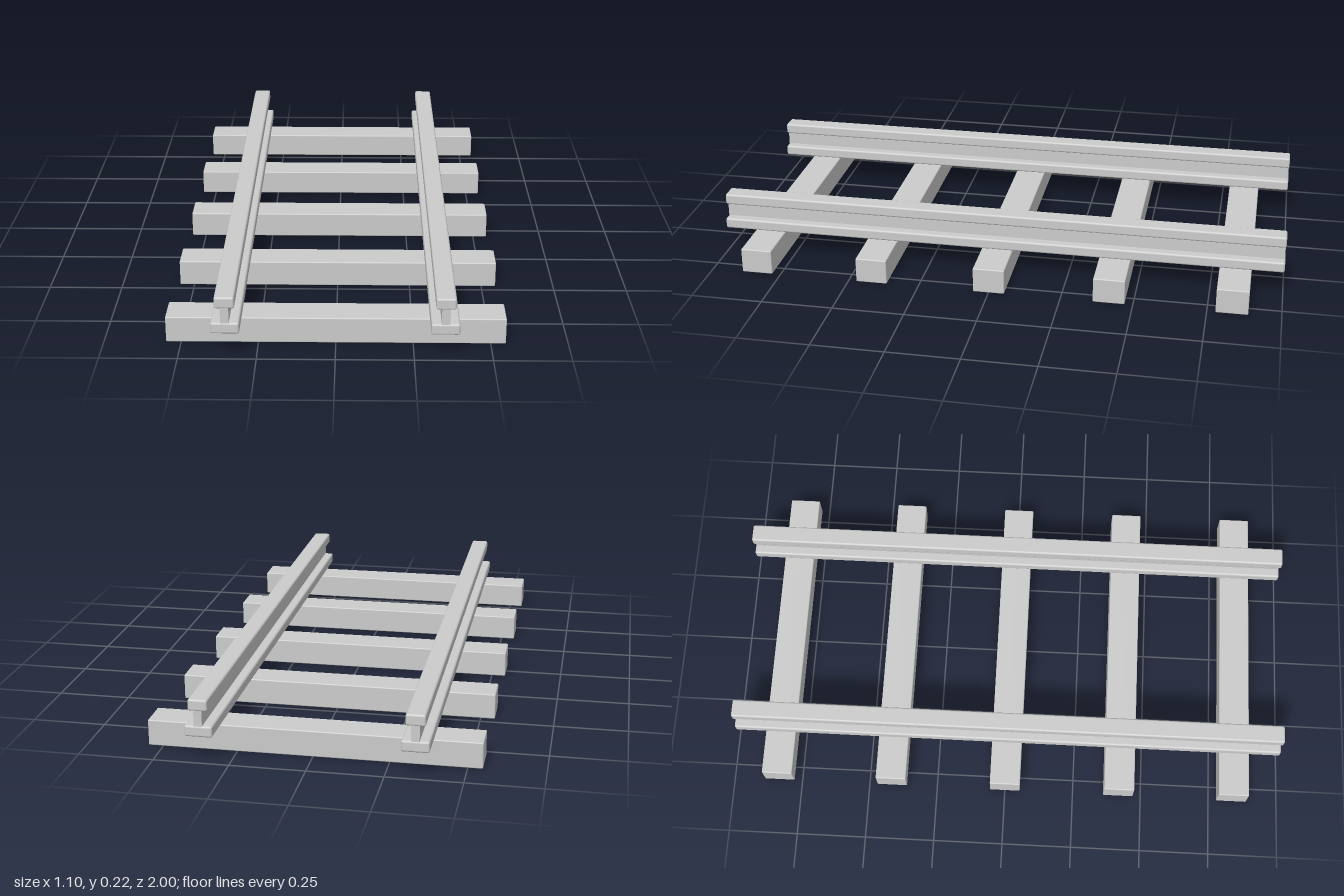
import * as THREE from 'three';
import { RoundedBoxGeometry } from 'three/addons/geometries/RoundedBoxGeometry.js';

const material = new THREE.MeshStandardMaterial({ color: 0xcccccc });

// Box with softened edges, placed by its bottom height
function block(name, width, bottom, top, length, radius) {
  const height = top - bottom;
  const mesh = new THREE.Mesh(new RoundedBoxGeometry(width, height, length, 2, radius), material);
  mesh.name = name;
  mesh.position.y = bottom + height / 2;
  return mesh;
}

// I-section rail: wide foot, thin web, narrower head
function createRail(name, x) {
  const rail = new THREE.Group();
  rail.name = name;
  rail.add(block('railFoot', 0.091, 0.089, 0.127, 2, 0.007));
  rail.add(block('railHead', 0.064, 0.177, 0.216, 2, 0.007));
  const web = new THREE.Mesh(new THREE.BoxGeometry(0.027, 0.06, 1.996), material);
  web.name = 'railWeb';
  web.position.y = 0.152;
  rail.add(web);
  rail.position.x = x;
  return rail;
}

export function createModel() {
  const track = new THREE.Group();
  track.name = 'railwayTrack';

  // Five evenly spaced cross ties
  for (let i = -2; i <= 2; i++) {
    const tie = block('tie' + (i + 3), 1.098, 0, 0.089, 0.11, 0.004);
    tie.position.z = i * 0.417;
    track.add(tie);
  }

  // Pair of rails
  track.add(createRail('leftRail', 0.347), createRail('rightRail', -0.347));
  return track;
}
